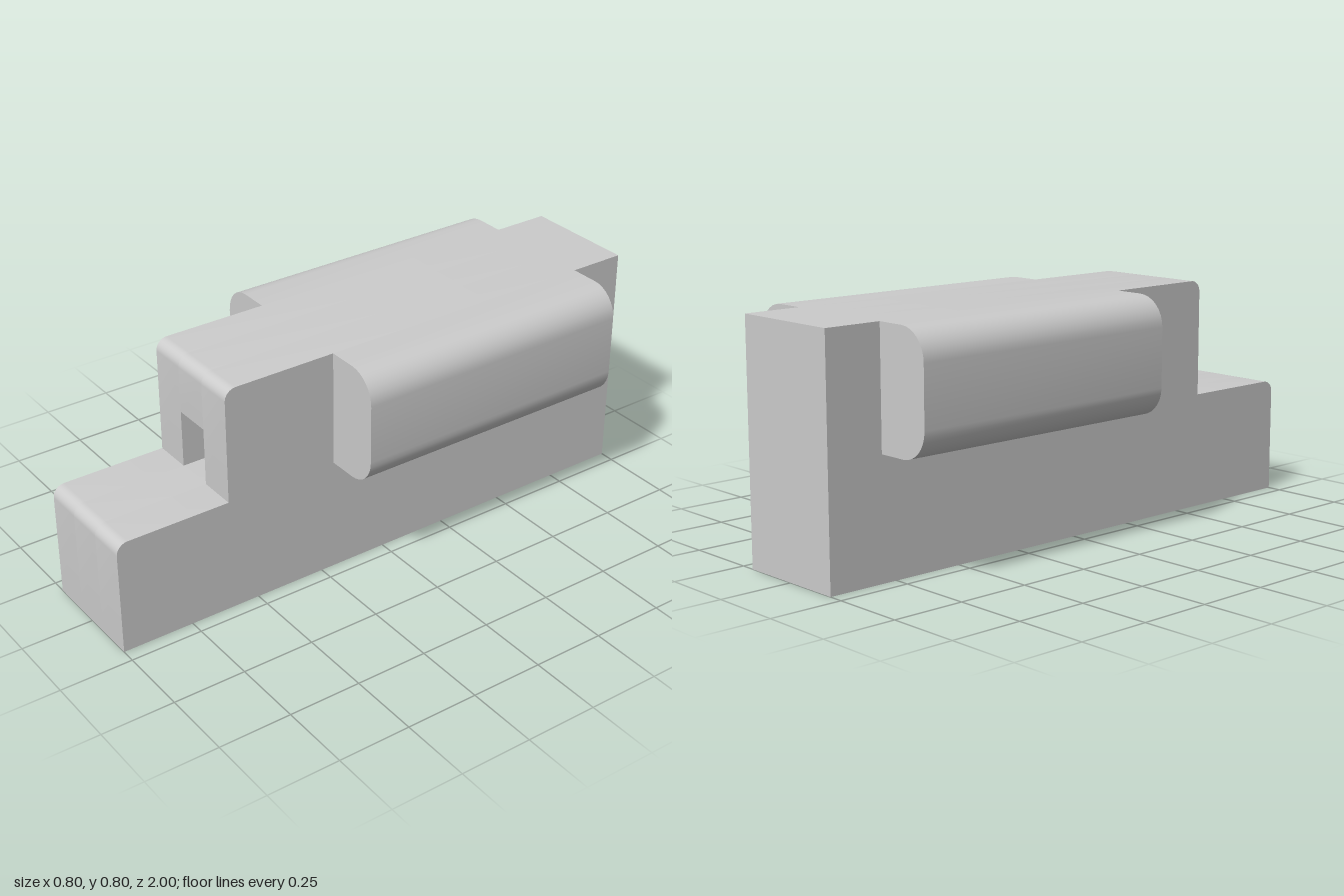
import * as THREE from 'three';
import { toCreasedNormals } from 'three/addons/utils/BufferGeometryUtils.js';

const material = new THREE.MeshStandardMaterial({ color: 0xcccccc });

function addMesh(parent, name, geometry) {
  const mesh = new THREE.Mesh(toCreasedNormals(geometry, 0.7), material);
  mesh.name = name;
  parent.add(mesh);
  return mesh;
}

// Stepped side profile (z across, y up), optionally with the front recess cut in
function sideProfile(recessed) {
  const r = 0.04;
  const s = new THREE.Shape();
  s.moveTo(-1, 0);
  s.lineTo(1, 0);
  s.lineTo(1, 0.4 - r);
  s.absarc(1 - r, 0.4 - r, r, 0, Math.PI / 2, false);
  if (recessed) {
    s.lineTo(0.4, 0.4);
    s.lineTo(0.4, 0.6);
    s.lineTo(0.6, 0.6);
  } else {
    s.lineTo(0.6, 0.4);
  }
  s.lineTo(0.6, 0.8 - r);
  s.absarc(0.6 - r, 0.8 - r, r, 0, Math.PI / 2, false);
  s.lineTo(-1, 0.8);
  s.closePath();
  return s;
}

// Slab of the body between two x positions
function bodySlab(x0, x1, recessed) {
  const g = new THREE.ExtrudeGeometry(sideProfile(recessed), {
    depth: x1 - x0, bevelEnabled: false, curveSegments: 4,
  });
  g.rotateY(-Math.PI / 2);
  g.translate(x1, 0, 0);
  return g;
}

// Side pod: D-shaped section with rounded outer corners, centred on y = 0
function podGeometry() {
  const r = 0.1;
  const s = new THREE.Shape();
  s.moveTo(0.2, -0.2);
  s.lineTo(0.4 - r, -0.2);
  s.absarc(0.4 - r, -0.2 + r, r, -Math.PI / 2, 0, false);
  s.lineTo(0.4, 0.2 - r);
  s.absarc(0.4 - r, 0.2 - r, r, 0, Math.PI / 2, false);
  s.lineTo(0.2, 0.2);
  s.closePath();
  const g = new THREE.ExtrudeGeometry(s, { depth: 1, bevelEnabled: false, curveSegments: 4 });
  g.translate(0, 0, -0.8);
  return g;
}

export function createModel() {
  const model = new THREE.Group();
  model.name = 'model';

  // Body: two full side slabs and a recessed middle one
  const body = new THREE.Group();
  body.name = 'body';
  const half = 0.067;
  addMesh(body, 'bodyRight', bodySlab(-0.2, -half, false));
  addMesh(body, 'bodyCentre', bodySlab(-half, half, true));
  addMesh(body, 'bodyLeft', bodySlab(half, 0.2, false));
  model.add(body);

  // Pods: the section is symmetric, so the right one is the left turned half round
  for (const [name, turn] of [['leftPod', 0], ['rightPod', Math.PI]]) {
    const pod = addMesh(model, name, podGeometry());
    pod.position.y = 0.6;
    pod.rotation.z = turn;
  }
  return model;
}
